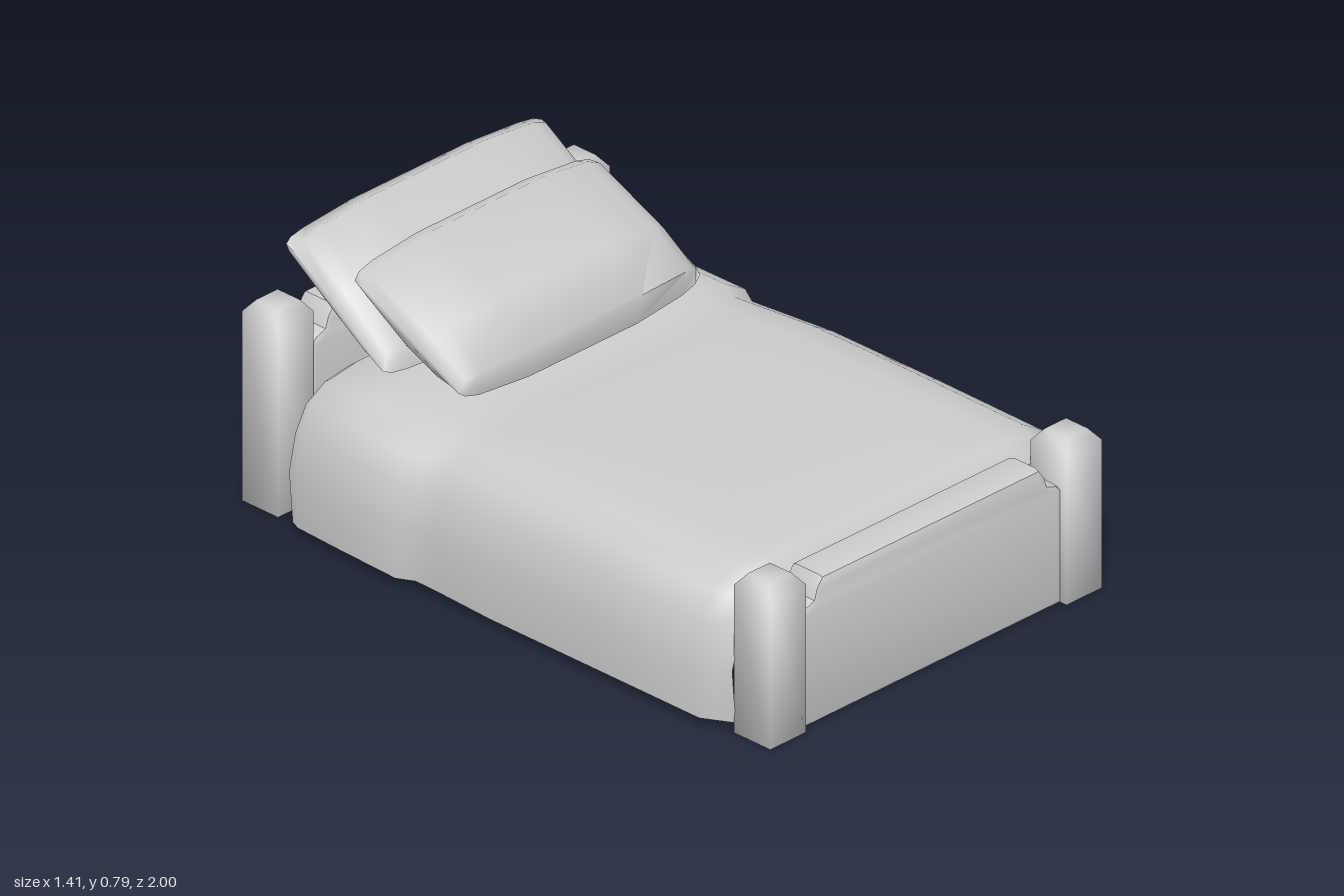
import * as THREE from 'three';
import { toCreasedNormals } from 'three/addons/utils/BufferGeometryUtils.js';

const solid = new THREE.MeshStandardMaterial({ color: 0xcccccc });
const cloth = new THREE.MeshStandardMaterial({ color: 0xcccccc, side: THREE.DoubleSide });

// Skin a list of rings (arrays of [x, y, z]); closed rings get end caps.
function loft(rings, closed, crease) {
  const n = rings[0].length;
  const index = [];
  for (let i = 0; i < rings.length - 1; i++) {
    for (let j = 0; j < (closed ? n : n - 1); j++) {
      const k = (j + 1) % n;
      const a = i * n + j, b = i * n + k;
      index.push(a, b, a + n, b, b + n, a + n);
    }
  }
  if (closed) {
    const e = (rings.length - 1) * n;
    for (let j = 1; j < n - 1; j++) index.push(0, j + 1, j, e, e + j, e + j + 1);
  }
  const geo = new THREE.BufferGeometry();
  geo.setAttribute('position', new THREE.Float32BufferAttribute(rings.flat(2), 3));
  geo.setIndex(index);
  return toCreasedNormals(geo, crease);
}

function addMesh(parent, name, geo, mat) {
  const mesh = new THREE.Mesh(geo, mat);
  mesh.name = name;
  parent.add(mesh);
  return mesh;
}

// Square post with a chamfered top
function postGeometry(height) {
  const corners = [[1, 1], [1, -1], [-1, -1], [-1, 1]];
  const levels = [[0, 0.0675], [height - 0.035, 0.0675], [height, 0.04]];
  return loft(levels.map(([y, r]) => corners.map(([x, z]) => [x * r, y, z * r])), true, 1.6);
}

// End board with notched shoulders; rise is the extra height
function boardGeometry(rise) {
  const half = [[0.48, 0.015], [0.48, 0.34 + rise], [0.47, 0.35 + rise],
    [0.433, 0.362 + rise], [0.42, 0.4 + rise], [0.405, 0.42 + rise]];
  const pts = [...half, ...half.map(([x, y]) => [-x, y]).reverse()];
  const shape = new THREE.Shape(pts.map(([x, y]) => new THREE.Vector2(x, y)));
  const geo = new THREE.ExtrudeGeometry(shape, {
    depth: 0.08, bevelThickness: 0.02, bevelSize: 0.015, bevelSegments: 2,
  });
  geo.translate(0, 0, -0.04);
  return toCreasedNormals(geo, 0.7);
}

// Arched cross-section, open underneath: half width w, top height h at z
function drapeRing([z, w, h]) {
  const half = [[w * 0.95, 0.03], [w * 0.98, 0.03], [w, 0.19], [w * 0.965, h * 0.7],
    [w * 0.905, h * 0.87], [w * 0.8, h * 0.965], [w * 0.66, h * 0.995], [w * 0.4, h]];
  return [...half, [0, h], ...half.map(([x, y]) => [-x, y]).reverse()]
    .map(([x, y]) => [x, y, z]);
}

// Tilted cushion: a [z, y] profile thinned towards pinched side seams
function pillowGeometry(profile, width, tilt) {
  const n = profile.length;
  const cz = profile.reduce((s, p) => s + p[0], 0) / n;
  const cy = profile.reduce((s, p) => s + p[1], 0) / n;
  const c = Math.cos(tilt), s = Math.sin(tilt);
  const half = [[1, 0.87, 0.1], [0.95, 0.92, 0.45], [0.84, 0.95, 0.78], [0.45, 1, 1]];
  const stations = [...half.map(([x, l, t]) => [-x, l, t]), ...half.reverse()];
  return loft(stations.map(([x, l, t]) => profile.map(([z, y]) => {
    const u = (-(z - cz) * c + (y - cy) * s) * l;
    const v = ((z - cz) * s + (y - cy) * c) * t;
    return [x * width, cy + u * s + v * c, cz - u * c + v * s];
  })), true, 1.1);
}

export function createModel() {
  const bed = new THREE.Group();
  bed.name = 'bed';

  // Posts, low at the foot and tall at the head
  for (const side of [1, -1]) {
    const label = side > 0 ? 'left' : 'right';
    addMesh(bed, label + 'FootPost', postGeometry(0.485), solid).position.set(side * 0.5625, 0, 0.9325);
    addMesh(bed, label + 'HeadPost', postGeometry(0.61), solid).position.set(side * 0.5625, 0, -0.905);
  }

  // End boards
  addMesh(bed, 'footboard', boardGeometry(0), solid).position.z = 0.925;
  addMesh(bed, 'headboard', boardGeometry(0.125), solid).position.z = -0.9;

  // Mattress end showing behind the blanket
  const mattress = [[-0.68, 0.62, 0.4], [-0.75, 0.615, 0.385], [-0.79, 0.6, 0.365],
    [-0.835, 0.57, 0.31], [-0.842, 0.49, 0.28]];
  addMesh(bed, 'mattress', loft(mattress.reverse().map(drapeRing), false, 1), cloth);

  // Blanket with a turned-back fold near the head
  const blanket = [[-0.74, 0.61, 0.385], [-0.752, 0.675, 0.425], [-0.72, 0.688, 0.45],
    [-0.55, 0.697, 0.452], [-0.34, 0.705, 0.448], [-0.29, 0.678, 0.438], [-0.2, 0.68, 0.445],
    [0, 0.69, 0.457], [0.4, 0.69, 0.46], [0.78, 0.69, 0.457], [0.825, 0.665, 0.453],
    [0.868, 0.64, 0.39]];
  addMesh(bed, 'blanket', loft(blanket.map(drapeRing), false, 1), cloth);

  // Two pillows leaning on the headboard
  const front = [[-0.735, 0.74], [-0.68, 0.765], [-0.42, 0.66], [-0.3, 0.555],
    [-0.32, 0.46], [-0.45, 0.455], [-0.57, 0.5], [-0.72, 0.67]];
  const rear = [[-0.97, 0.755], [-0.9, 0.79], [-0.72, 0.685], [-0.57, 0.54],
    [-0.56, 0.46], [-0.69, 0.452], [-0.86, 0.565], [-1, 0.675]];
  addMesh(bed, 'frontPillow', pillowGeometry(front, 0.46, 0.45), solid);
  addMesh(bed, 'rearPillow', pillowGeometry(rear, 0.485, 0.6), solid);

  return bed;
}
